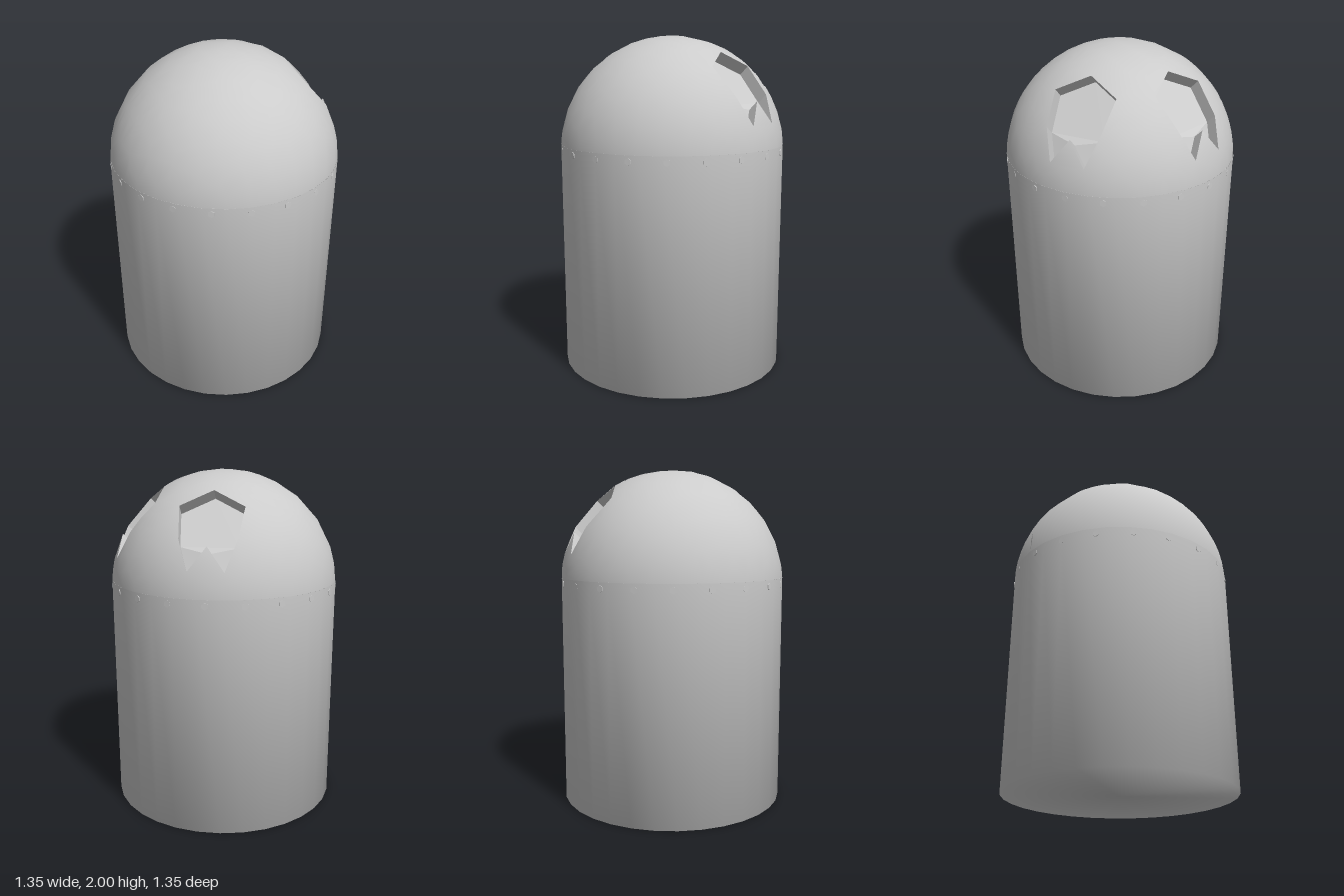
import * as THREE from 'three';

const R = 0.675, RIM = 1.36, CENTRE = 1.325, SIDES = 32;
const grey = new THREE.MeshStandardMaterial({ color: 0xcccccc, side: THREE.DoubleSide });
const flatGrey = new THREE.MeshStandardMaterial({ color: 0xcccccc, side: THREE.DoubleSide, flatShading: true });

// Emblem outline (y, z), starting at the top point and running round to the other side
const half = [[1.82, 0.18], [1.66, 0.158], [1.5, 0.1]];
const outline = [[1.9, 0], ...half, [1.63, 0], ...half.map(([y, z]) => [y, -z]).reverse()];
const emblemAngles = [0, Math.PI * 0.4];
const sink = new THREE.Vector3(-0.05, -0.05, 0);

// Outline corners lying on the dome's sphere, facing +x
const emblemPoints = outline.map(([y, z]) =>
  new THREE.Vector3(Math.sqrt(R * R - (y - CENTRE) ** 2 - z * z), y, z));

function meshOf(name, geometry, material) {
  const mesh = new THREE.Mesh(geometry, material);
  mesh.name = name;
  return mesh;
}

function triangles(points) {
  const g = new THREE.BufferGeometry().setFromPoints(points);
  g.computeVertexNormals();
  return g;
}

// Sphere <-> flat map: distance from the origin is the angle from the pole
function toMap(p) {
  const theta = Math.acos((p.y - CENTRE) / R), phi = Math.atan2(p.z, p.x);
  return new THREE.Vector2(theta * Math.cos(phi), theta * Math.sin(phi));
}
function toDirection(m) {
  const theta = m.length(), phi = Math.atan2(m.y, m.x);
  return new THREE.Vector3(Math.sin(theta) * Math.cos(phi), Math.cos(theta), Math.sin(theta) * Math.sin(phi));
}

// Dome: a disc with emblem holes, split into small triangles and bent onto the sphere
function domeGeometry() {
  const rimAngle = Math.acos((RIM - CENTRE) / R);
  const rim = [];
  for (let i = 0; i < SIDES; i++) {
    const a = (i / SIDES) * Math.PI * 2;
    rim.push(new THREE.Vector2(Math.cos(a), Math.sin(a)).multiplyScalar(rimAngle));
  }
  const up = new THREE.Vector3(0, 1, 0);
  const holes = emblemAngles.map((angle, h) => emblemPoints.map((p) => {
    const m = toMap(p.clone().applyAxisAngle(up, angle));
    m.hole = h + 1;
    return m;
  }));
  const all = [...rim, ...holes.flat()];
  let tris = THREE.ShapeUtils.triangulateShape(rim, holes).map((t) => t.map((i) => all[i]));

  // Hole edges stay straight; every other long edge is halved
  const isLong = (a, b) => !(a.hole && a.hole === b.hole) && a.distanceTo(b) > 0.3;
  const mid = (a, b) => a.clone().add(b).multiplyScalar(0.5);
  for (let pass = 0; pass < 6; pass++) {
    tris = tris.flatMap(([a, b, c]) => {
      let t = [a, b, c];
      const count = [isLong(a, b), isLong(b, c), isLong(c, a)].filter(Boolean).length;
      if (count === 0) return [t];
      // Turn the triangle so its first edges are the long ones
      for (let k = 0; k < 3; k++) {
        const last = isLong(t[2], t[0]);
        if (isLong(t[0], t[1]) && (count !== 2 || !last)) break;
        t = [t[1], t[2], t[0]];
      }
      const [p, q, r] = t, pq = mid(p, q), qr = mid(q, r), rp = mid(r, p);
      if (count === 1) return [[p, pq, r], [pq, q, r]];
      if (count === 2) return [[pq, q, qr], [p, pq, qr], [p, qr, r]];
      return [[p, pq, rp], [pq, q, qr], [rp, qr, r], [pq, qr, rp]];
    });
  }

  const positions = [], normals = [];
  for (const [a, b, c] of tris) {
    const area = (b.x - a.x) * (c.y - a.y) - (b.y - a.y) * (c.x - a.x);
    for (const m of area < 0 ? [a, b, c] : [a, c, b]) {
      const d = toDirection(m);
      normals.push(d.x, d.y, d.z);
      positions.push(d.x * R, CENTRE + d.y * R, d.z * R);
    }
  }
  const g = new THREE.BufferGeometry();
  g.setAttribute('position', new THREE.Float32BufferAttribute(positions, 3));
  g.setAttribute('normal', new THREE.Float32BufferAttribute(normals, 3));
  return g;
}

// Sunken emblem: side walls and a floor pushed in at 45 degrees
function emblemRecess() {
  const group = new THREE.Group();
  group.name = 'emblemRecess';
  const floor = emblemPoints.map((p) => p.clone().add(sink));
  const walls = [];
  emblemPoints.forEach((p, i) => {
    const j = (i + 1) % floor.length, q = emblemPoints[j];
    walls.push(p, floor[j], floor[i], p, q, floor[j]);
  });
  const flat = outline.map(([y, z]) => new THREE.Vector2(-z, y));
  const faces = THREE.ShapeUtils.triangulateShape(flat, []).flatMap((t) => {
    const [a, b, c] = t.map((i) => floor[i]);
    const n = b.clone().sub(a).cross(c.clone().sub(a));
    return n.x > 0 ? [a, b, c] : [a, c, b];
  });
  group.add(meshOf('recessWalls', triangles(walls), flatGrey), meshOf('recessFloor', triangles(faces), flatGrey));
  return group;
}

export function createModel() {
  const model = new THREE.Group();
  model.name = 'domedCylinder';

  // Body with a softly shaded closed base
  const profile = [[0, 0], [R, 0], [R, RIM]].map(([x, y]) => new THREE.Vector2(x, y));
  model.add(meshOf('body', new THREE.LatheGeometry(profile, SIDES), grey));
  model.add(meshOf('dome', domeGeometry(), grey));

  for (const angle of emblemAngles) {
    const recess = emblemRecess();
    recess.rotation.y = angle;
    model.add(recess);
  }

  // Ring of small six-sided rivets just below the rim
  const rivets = new THREE.Group();
  rivets.name = 'rivets';
  const rivetShape = new THREE.CylinderGeometry(0.02, 0.02, 0.02, 6)
    .rotateX(Math.PI / 2).translate(0, 1.325, R - 0.0095);
  for (let i = 0; i < 20; i++) {
    const rivet = meshOf('rivet', rivetShape, flatGrey);
    rivet.rotation.y = (i / 20) * Math.PI * 2;
    rivets.add(rivet);
  }
  model.add(rivets);
  return model;
}
